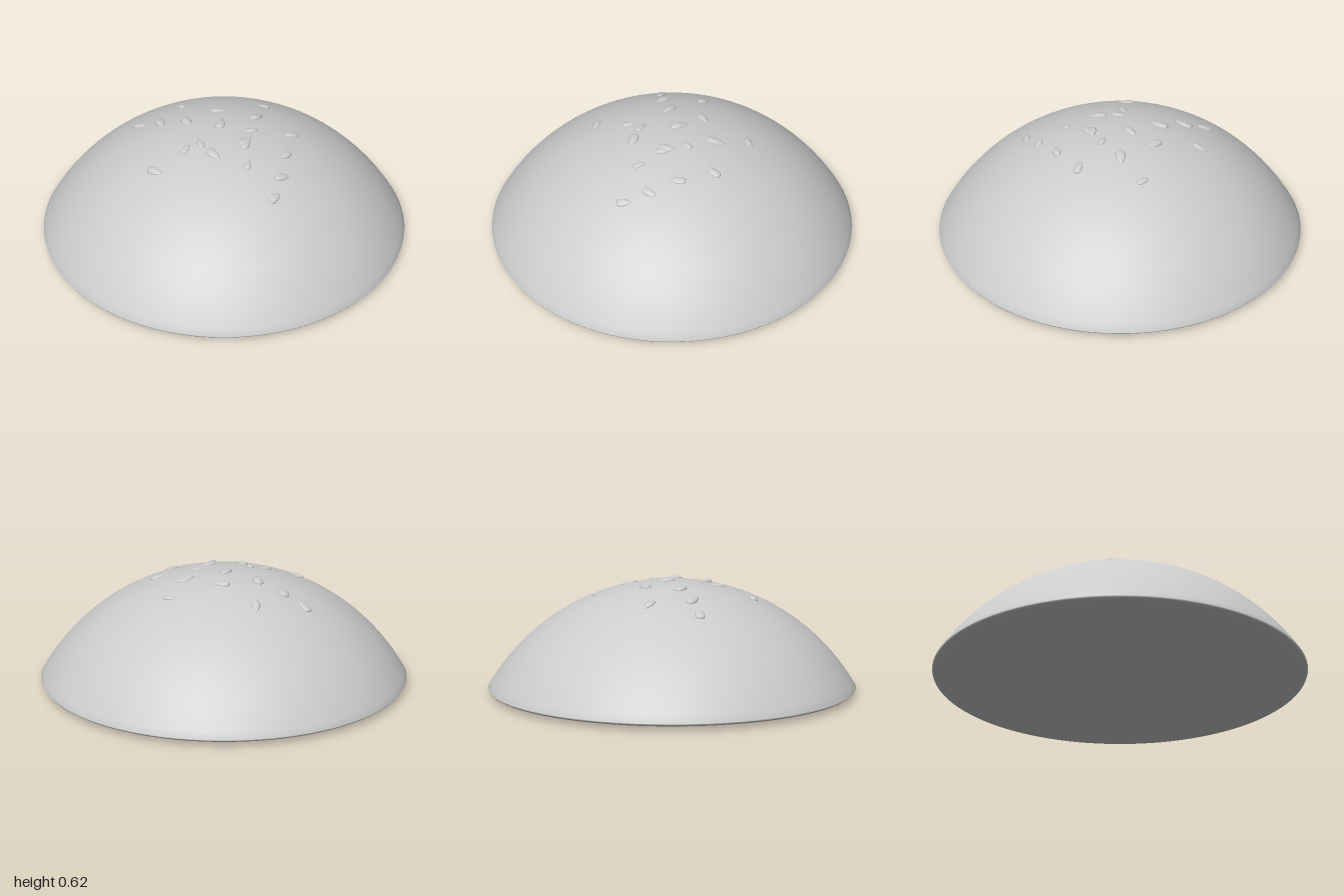
import * as THREE from 'three';

const RADIUS = 1.162, CENTRE_Y = -0.552; // sphere that the dome is cut from

export function createModel() {
  const group = new THREE.Group();
  const material = new THREE.MeshStandardMaterial({ color: 0xcccccc });

  // Bun: slightly bulging base, narrow rounded rim, spherical cap
  const profile = [];
  for (let i = 0; i <= 8; i++) {
    const r = 0.97 * i / 8;
    profile.push(new THREE.Vector2(r, 0.003 + 0.02 * r * r));
  }
  profile.push(new THREE.Vector2(0.987, 0.026), new THREE.Vector2(0.996, 0.032));
  const rim = Math.asin(1 / RADIUS);
  for (let i = 0; i <= 32; i++) {
    const a = rim * (1 - i / 32);
    profile.push(new THREE.Vector2(RADIUS * Math.sin(a), CENTRE_Y + RADIUS * Math.cos(a)));
  }
  profile[profile.length - 1].x = 0;
  const bun = new THREE.Mesh(new THREE.LatheGeometry(profile, 96), material);
  bun.name = 'bunTop';
  group.add(bun);

  // Seed: flattened teardrop of unit length, tip along +y, thin along z
  const seedProfile = [[0, -0.5], [0.14, -0.48], [0.23, -0.4], [0.27, -0.22], [0.27, 0],
    [0.21, 0.22], [0.1, 0.42], [0.04, 0.49], [0, 0.5]].map(([x, y]) => new THREE.Vector2(x, y));
  const seedGeometry = new THREE.LatheGeometry(seedProfile, 16);
  seedGeometry.scale(1, 1, 0.5);

  // x, z, heading of the tip (dx, dz), length
  const seeds = [
    [0.14, -0.385, -1, -0.1, 0.07], [-0.31, -0.3, -0.6, -1, 0.085],
    [-0.075, -0.205, 1, -0.15, 0.09], [0.14, -0.195, 0.6, -1, 0.095],
    [-0.5, -0.11, 1, 0.4, 0.095], [-0.375, -0.08, 0.7, 1, 0.1],
    [-0.22, -0.06, 0.7, 1, 0.1], [-0.03, -0.05, 0, -1, 0.095],
    [0.345, -0.105, -1, 0.7, 0.085], [0.14, -0.03, -1, 0.6, 0.07],
    [0.13, 0.075, 0.7, -1, 0.09], [0.14, 0.1, 0.2, -1, 0.08],
    [-0.095, 0.145, -0.6, -1, 0.075], [-0.165, 0.19, 0.4, -1, 0.075],
    [-0.01, 0.215, 1, 0.8, 0.095], [0.18, 0.245, 0, -1, 0.065],
    [0.35, 0.09, -0.45, 1, 0.08], [0.36, 0.25, 1, -0.7, 0.08],
    [0.35, 0.385, 0.4, -1, 0.08], [-0.295, 0.335, 1, 0.45, 0.09],
  ];
  const seedGroup = new THREE.Group();
  seedGroup.name = 'seeds';
  for (const [x, z, dx, dz, length] of seeds) {
    const y = Math.sqrt(RADIUS * RADIUS - x * x - z * z);
    const normal = new THREE.Vector3(x, y, z).normalize();
    const tip = new THREE.Vector3(dx, 0, dz).projectOnPlane(normal).normalize();
    const side = new THREE.Vector3().crossVectors(tip, normal);
    const seed = new THREE.Mesh(seedGeometry, material);
    seed.name = 'seed';
    seed.quaternion.setFromRotationMatrix(new THREE.Matrix4().makeBasis(side, tip, normal));
    seed.position.set(x, CENTRE_Y + y, z);
    seed.scale.setScalar(length);
    seedGroup.add(seed);
  }
  group.add(seedGroup);
  return group;
}
